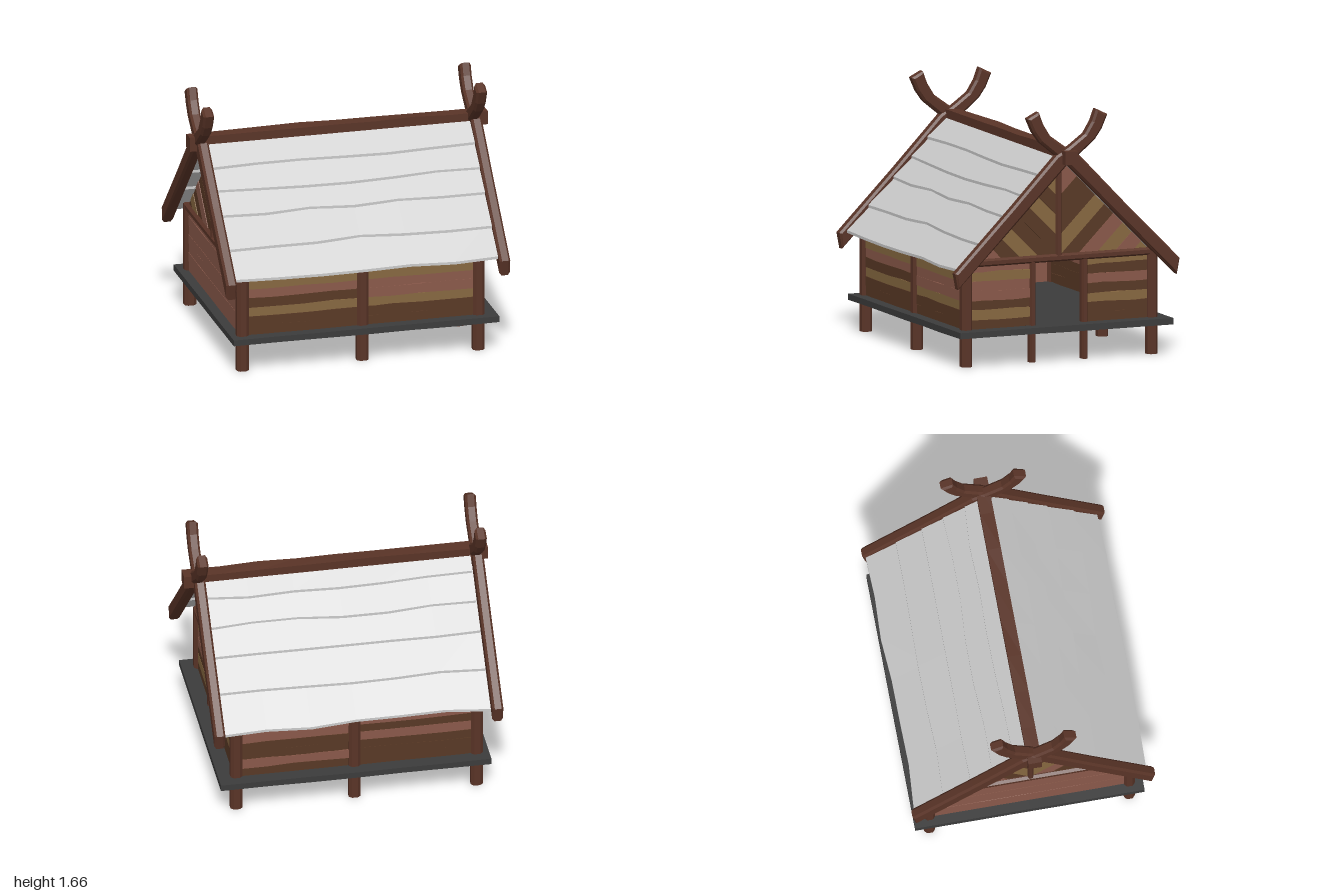
import * as THREE from 'three';

const paint = (color) => new THREE.MeshStandardMaterial({ color, flatShading: true, side: THREE.DoubleSide });
const timber = paint(0x5a3427), brown = paint(0x593925), tan = paint(0x876840), rose = paint(0x8a594a);
const slate = paint(0x3c3c3c), grey = paint(0xcccccc);
const SWATCH = { b: brown, t: tan, r: rose };

// Repeatable value in -1..1 for a position, so coincident vertices move together
function noise(x, y, z) {
  const s = Math.sin(x * 127.1 + y * 311.7 + z * 74.7) * 43758.5453;
  return (s - Math.floor(s)) * 2 - 1;
}

// Hand-hewn look: nudges every vertex a little in y
function hew(geo, amount, seed) {
  const p = geo.attributes.position;
  for (let i = 0; i < p.count; i++) {
    const [x, y, z] = [p.getX(i), p.getY(i), p.getZ(i)].map((v) => Math.round(v * 1000) / 1000 + 0);
    p.setY(i, y + amount * noise(x + seed, y, z > 0 ? 0.5 : -0.5));
  }
  return geo;
}

function add(parent, name, geo, mat, x = 0, y = 0, z = 0) {
  const mesh = new THREE.Mesh(geo, mat);
  mesh.name = name;
  mesh.position.set(x, y, z);
  parent.add(mesh);
  return mesh;
}

// Chamfered upright or beam, made along y
function hewnLog(width, length, depth) {
  const c = 0.25, s = new THREE.Shape();
  [[-0.5, -0.5 + c], [-0.5 + c, -0.5], [0.5 - c, -0.5], [0.5, -0.5 + c],
    [0.5, 0.5 - c], [0.5 - c, 0.5], [-0.5 + c, 0.5], [-0.5, 0.5 - c]]
    .forEach(([x, y], i) => (i ? s.lineTo(x * width, y * depth) : s.moveTo(x * width, y * depth)));
  return new THREE.ExtrudeGeometry(s, { depth: length, bevelEnabled: false })
    .translate(0, 0, -length / 2).rotateX(-Math.PI / 2);
}

// Flat outline of [z, y] points given a thickness along x
function sideProfile(points, thickness, bevel = 0) {
  const s = new THREE.Shape(points.map(([z, y]) => new THREE.Vector2(z, y)));
  return new THREE.ExtrudeGeometry(s, {
    depth: thickness - 2 * bevel, bevelEnabled: bevel > 0, bevelSize: bevel, bevelOffset: -bevel,
    bevelThickness: bevel, bevelSegments: 1,
  }).translate(0, 0, -thickness / 2 + bevel).rotateY(-Math.PI / 2);
}

const XR = 0.772, XL = -0.81, ZF = 0.65, ZB = -0.665, FLOOR = 0.24, ROW = 0.0625;

// Row of stacked planks between two points on the plan; colours run bottom to top
function plankWall(parent, name, x0, z0, x1, z1, colours) {
  const wall = new THREE.Group();
  wall.name = name;
  const length = Math.hypot(x1 - x0, z1 - z0);
  [...colours].forEach((c, i) => {
    const geo = hew(new THREE.BoxGeometry(length, ROW + 0.002, 0.032 + 0.004 * (i % 2), 4, 1, 1), 0.005, i + x0 + z1);
    add(wall, 'plank', geo, SWATCH[c], 0, FLOOR + ROW * (i + 0.5), 0);
  });
  wall.position.set((x0 + x1) / 2, 0, (z0 + z1) / 2);
  wall.rotation.y = -Math.atan2(z1 - z0, x1 - x0);
  parent.add(wall);
}

// Chevron planks laid square to the roof slope, with king post and tie beam
function gable(parent, x, coloursFront, coloursBack) {
  const g = new THREE.Group();
  g.name = 'gable';
  const half = 0.65, base = 0.68, total = half * Math.SQRT2, n = 10;
  const reach = (u) => Math.min(u, total - u);
  for (const [side, colours] of [[1, coloursFront], [-1, coloursBack]]) {
    const at = (u, v) => [side * (half - (u + v) / Math.SQRT2), base + (u - v) / Math.SQRT2];
    for (let i = 0; i < n; i++) {
      const u0 = (i / n) * total, u1 = ((i + 1) / n) * total;
      const pts = [at(u0, 0), at(u1, 0), at(u1, reach(u1)), at(u0, reach(u0))]
        .filter((p, k, a) => k === 0 || Math.hypot(p[0] - a[k - 1][0], p[1] - a[k - 1][1]) > 1e-4);
      add(g, 'gablePlank', sideProfile(pts, 0.026 + 0.008 * (i % 2)), SWATCH[colours[i]]);
    }
  }
  add(g, 'kingPost', hewnLog(0.07, 0.64, 0.042), timber, 0, 1.0, 0);
  add(g, 'tieBeam', hewnLog(0.075, 1.3, 0.05).rotateX(Math.PI / 2), timber, 0, 0.675, -0.008);
  g.position.x = x;
  parent.add(g);
}

export function createModel() {
  const house = new THREE.Group();
  house.name = 'stiltHouse';

  // Platform
  add(house, 'floor', hew(new THREE.BoxGeometry(1.78, 0.04, 1.51, 6, 1, 6), 0.002, 2), slate, 0, 0.22, -0.015);

  // Stilts that carry on up as wall posts
  for (const x of [XL, -0.006, XR]) {
    for (const z of [ZF, ZB]) add(house, 'post', hewnLog(0.078, 0.69, 0.072), timber, x, 0.345, z);
  }
  for (const z of [0.185, -0.185]) add(house, 'doorPost', hewnLog(0.065, 0.67, 0.042), timber, XR, 0.335, z);

  // Walls, with the doorway left open on the +x end
  plankWall(house, 'frontWall', XL, ZF, 0, ZF, 'bbtbrtr');
  plankWall(house, 'frontWall', 0, ZF, XR, ZF, 'bbtrrtb');
  plankWall(house, 'backWall', XL, ZB, 0, ZB, 'bbbrbrr');
  plankWall(house, 'backWall', 0, ZB, XR, ZB, 'brbbrrb');
  plankWall(house, 'doorWall', XR, 0.185, XR, ZF, 'btbrrtr');
  plankWall(house, 'doorWall', XR, ZB, XR, -0.185, 'bbtbrbt');
  plankWall(house, 'endWall', XL, ZB, XL, ZF, 'rrrrrrr');
  gable(house, XR, 'brbtbbtbtr', 'trtrbtbbrr');
  gable(house, XL, 'rbtbrtbbtr', 'btbrbtbrbr');

  // Overlapping roof courses with wavy lower edges
  const slopes = { frontRoof: [0.02, 0.17, 0.3, 0.425, 0.59, 0.76], backRoof: [0.02, 0.135, 0.27, 0.405, 0.58, 0.77] };
  for (const [name, edges] of Object.entries(slopes)) {
    const roof = new THREE.Group();
    roof.name = name;
    for (let i = 0; i < 5; i++) {
      const geo = new THREE.BoxGeometry(1.77, 0.018, 1, 6, 1, 1);
      const p = geo.attributes.position;
      const top = Math.max(0.01, edges[i] - 0.05), low = edges[i + 1];
      for (let k = 0; k < p.count; k++) {
        const lower = p.getZ(k) > 0;
        const wave = noise(Math.round(p.getX(k) * 10), i, name.length);
        const z = lower ? low + 0.012 * wave : top;
        p.setZ(k, z);
        p.setY(k, 1.385 - 1.0 * z + p.getY(k) + (lower ? 0.016 + 0.004 * wave : -0.008));
      }
      if (name === 'backRoof') geo.rotateY(Math.PI);
      add(roof, 'roofCourse', geo, grey);
    }
    house.add(roof);
  }

  // Ridge beam
  const ridge = new THREE.BoxGeometry(2, 0.095, 0.09, 8, 1, 1);
  add(house, 'ridgeBeam', hew(ridge, 0.006, 5), timber, 0, 1.357, 0);

  // Barge rafters that cross at the ridge and sweep up into horns
  const barge = [[0.8, 0.64], [0.4, 1.04], [0.08, 1.37], [0, 1.415], [-0.03, 1.435], [-0.12, 1.5], [-0.17, 1.58],
    [-0.2, 1.66], [-0.28, 1.62], [-0.24, 1.53], [-0.19, 1.46], [-0.08, 1.37], [0, 1.31], [0.4, 0.91], [0.78, 0.535]];
  for (const [x, side] of [[0.915, 1], [0.9, -1], [-0.917, 1], [-0.93, -1]]) {
    const outline = barge.map(([z, y]) => [z * side, y]);
    add(house, 'hornedRafter', sideProfile(outline, 0.072, 0.014), timber, x);
  }
  return house;
}
